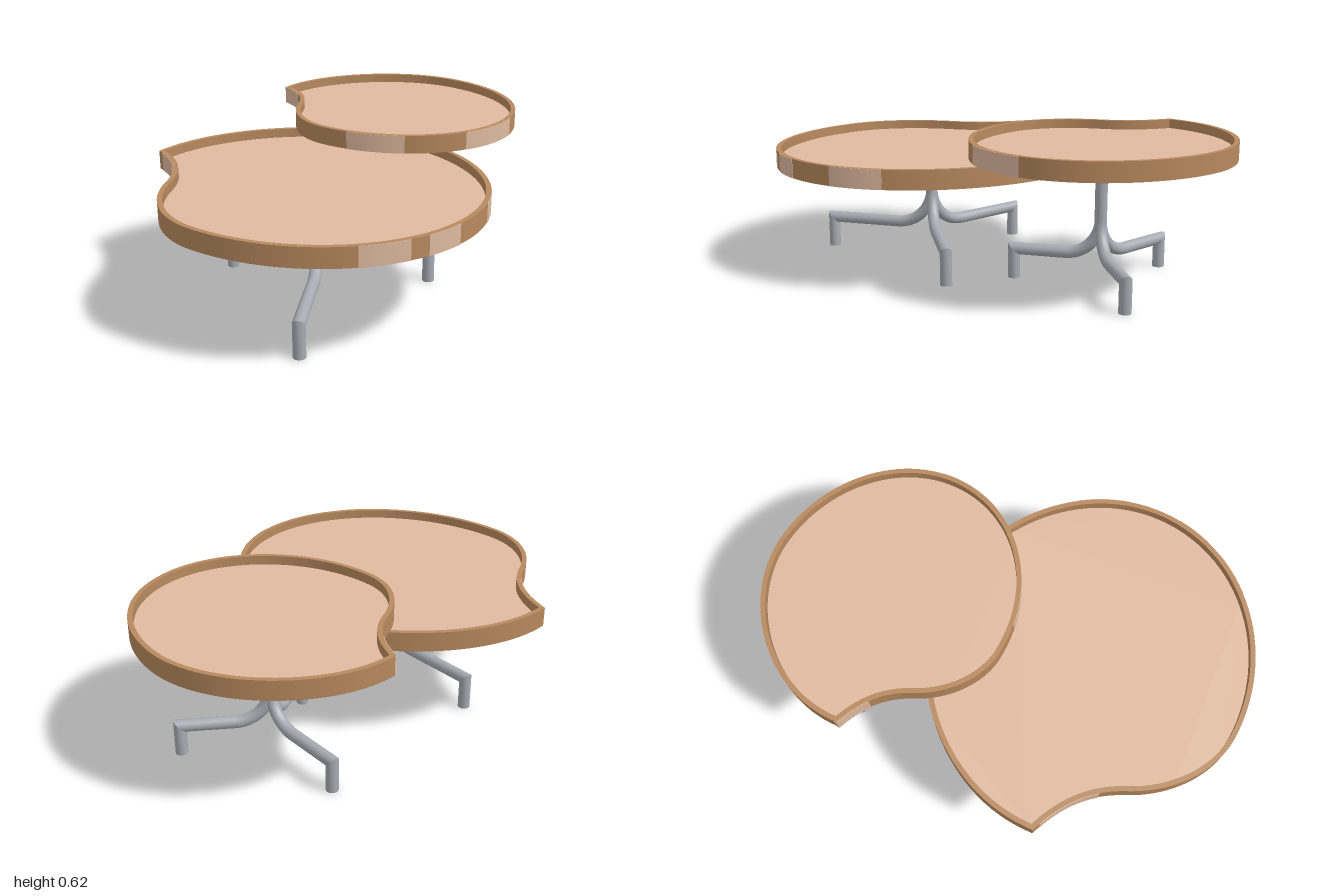
import * as THREE from 'three';
import { toCreasedNormals } from 'three/addons/utils/BufferGeometryUtils.js';

function material(name, color) {
  const m = new THREE.MeshStandardMaterial({ color });
  m.name = name;
  return m;
}
const wood = material('brown wood', 0xb8895e);
const paleWood = material('pale wood', 0xdfba9f);
const metal = material('grey metal', 0xa8aab3);
const paleMetal = material('pale metal', 0xcfd1d4);

function add(group, name, geometry, mat) {
  const mesh = new THREE.Mesh(geometry, mat);
  mesh.name = name;
  group.add(mesh);
  return mesh;
}

// Round top with a concave bite near its front right corner (shape y is -z)
function outline(scale, ox, oz) {
  const path = new THREE.Path();
  const c = (...v) => path.bezierCurveTo(...v.map((n, i) => (i % 2 ? -(oz + scale * n) : ox + scale * n)));
  path.moveTo(ox, -(oz - scale * 0.322));
  c(0.414, -0.322, 0.75, -0.028, 0.75, 0.335);
  c(0.75, 0.70, 0.42, 1.0, 0.01, 1.0);
  c(-0.15, 0.995, -0.30, 0.89, -0.385, 0.74);
  c(-0.45, 0.62, -0.55, 0.54, -0.703, 0.497);
  c(-0.708, 0.46, -0.71, 0.43, -0.71, 0.39);
  c(-0.705, 0.03, -0.37, -0.322, 0, -0.322);
  const pts = path.getPoints(28);
  return pts.filter((p, i) => i === 0 || (p.distanceTo(pts[i - 1]) > 1e-5 && p.distanceTo(pts[0]) > 1e-5));
}

// Move a clockwise outline inwards by d
function inset(pts, d) {
  const n = pts.length;
  return pts.map((p, i) => {
    const t = pts[(i + 1) % n].clone().sub(pts[(i + n - 1) % n]).normalize();
    return new THREE.Vector2(p.x + t.y * d, p.y - t.x * d);
  });
}

function slab(shape, y0, y1) {
  const g = new THREE.ExtrudeGeometry(shape, { depth: y1 - y0, bevelEnabled: false });
  g.rotateX(-Math.PI / 2).translate(0, y0, 0);
  return toCreasedNormals(g, 0.5);
}

function makeTray(pts, bottom, top, centre, bands) {
  const tray = new THREE.Group();
  tray.name = 'trayTop';
  const floor = top - 0.042;
  add(tray, 'trayBase', slab(new THREE.Shape(pts), bottom, floor), wood);

  // The hole runs against the outline so that the inner wall faces inwards
  const ring = new THREE.Shape(pts);
  ring.holes.push(new THREE.Path(inset(pts, 0.02).reverse()));
  add(tray, 'trayRim', slab(ring, floor, top), wood);
  add(tray, 'trayPanel', slab(new THREE.Shape(inset(pts, 0.019)), floor - 0.002, floor + 0.003), paleWood);

  // Pale veneer strips on the outer edge, given as angles round the centre
  const outer = inset(pts, -0.002);
  for (const [a0, a1] of bands) {
    const run = pts.map((p, i) => i).filter((i) => {
      const a = THREE.MathUtils.radToDeg(Math.atan2(-pts[i].y - centre[1], pts[i].x - centre[0]));
      return a >= a0 && a <= a1;
    });
    const strip = run.map((i) => outer[i]).concat(run.map((i) => pts[i]).reverse());
    add(tray, 'edgeVeneer', slab(new THREE.Shape(strip), bottom, top), paleWood);
  }
  return tray;
}

// Sweep a circle through sections [x, y, nx, ny] lying in the x-y plane
function sweep(sections, r, sides = 20) {
  const pos = [], index = [];
  sections.forEach(([x, y, nx, ny], s) => {
    for (let j = 0; j < sides; j++) {
      const a = (j / sides) * Math.PI * 2, k = r * Math.cos(a);
      pos.push(x + k * nx, y + k * ny, r * Math.sin(a));
      if (s === sections.length - 1) continue;
      const A = s * sides + j, B = s * sides + ((j + 1) % sides);
      index.push(A, B, A + sides, B, B + sides, A + sides);
    }
  });
  const g = new THREE.BufferGeometry();
  g.setAttribute('position', new THREE.Float32BufferAttribute(pos, 3));
  g.setIndex(index);
  g.computeVertexNormals();
  return g;
}

function makeBase({ x, z, top, h, bend, legs, flange }) {
  const base = new THREE.Group();
  base.name = 'pedestal';
  base.position.set(x, 0, z);
  const r = 0.0253;

  for (const [angle, reach] of legs) {
    const leg = new THREE.Group();
    leg.name = 'leg';
    leg.rotation.y = THREE.MathUtils.degToRad(angle);

    // Arm: down the post, round the bend, then out to the mitred corner
    const arm = [[0, top - 0.002, 1, 0]];
    for (let i = 0; i <= 14; i++) {
      const t = (i / 14) * Math.PI / 2, c = Math.cos(t), s = Math.sin(t);
      arm.push([bend * (1 - c), h + bend * (1 - s), c, s]);
    }
    arm.push([reach, h, 1, 1]);
    add(leg, 'legArm', sweep(arm, r), metal);
    add(leg, 'legFoot', sweep([[reach, h, 1, 1], [reach, 0, 1, 0]], r), metal);
    add(leg, 'footCap', new THREE.CircleGeometry(r, 20).rotateX(Math.PI / 2).translate(reach, 0, 0), metal);
    base.add(leg);
  }

  // Mounting plate under the tray
  const [fx, fz, fh] = flange;
  const plate = add(base, 'mountingPlate', new THREE.CylinderGeometry(1, 1, fh, 32), paleMetal);
  plate.scale.set(fx, 1, fz);
  plate.position.y = top - fh / 2;
  return base;
}

export function createModel() {
  const model = new THREE.Group();
  model.name = 'nestingTables';

  const low = new THREE.Group();
  low.name = 'lowTable';
  low.add(makeTray(outline(1, 0, 0), 0.44, 0.52, [0, 0.335],
    [[1, 15], [19, 38], [-33, -14], [144, 166]]));
  low.add(makeBase({ x: 0.057, z: 0.342, top: 0.441, h: 0.137, bend: 0.165,
    legs: [[58, 0.487], [180, 0.5], [302, 0.487]], flange: [0.08, 0.092, 0.014] }));

  const high = new THREE.Group();
  high.name = 'highTable';
  high.add(makeTray(outline(0.785, -0.196, -0.747), 0.54, 0.617, [-0.191, -0.485],
    [[-11, 22], [45, 78], [156, 168]]));
  high.add(makeBase({ x: -0.165, z: -0.482, top: 0.541, h: 0.126, bend: 0.145,
    legs: [[57.5, 0.363], [180, 0.383], [302.5, 0.363]], flange: [0.088, 0.08, 0.018] }));

  model.add(low, high);
  return model;
}
